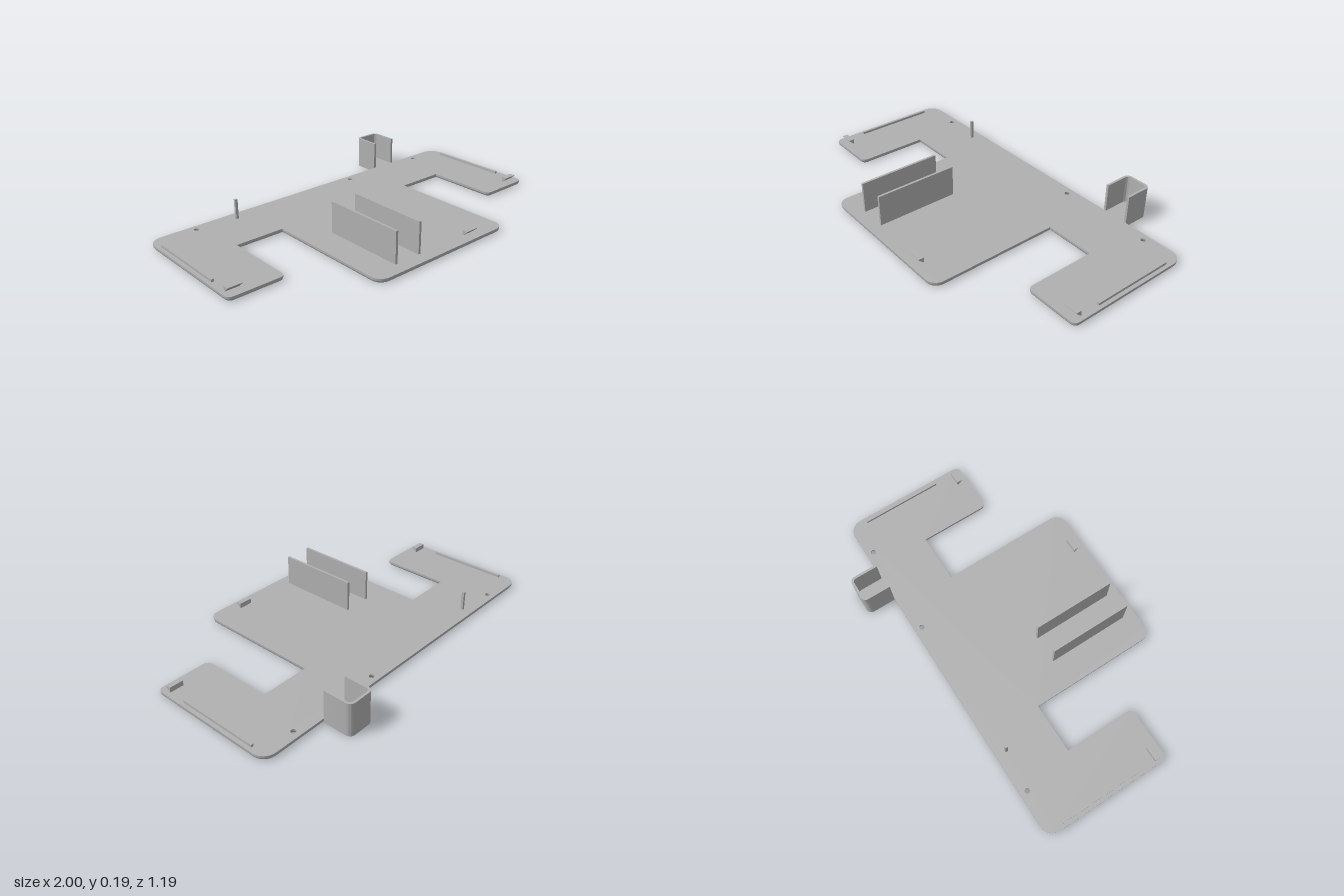
import * as THREE from 'three';
import { toCreasedNormals } from 'three/addons/utils/BufferGeometryUtils.js';

const T = 0.023; // plate thickness

// Plan outline as [x, -z, corner radius], counter-clockwise seen from above
const CORNERS = [
  [1, 0.44, 0.07], [-1, 0.44, 0.07], [-1, -0.275, 0.03], [-0.7, -0.275, 0.03],
  [-0.7, 0.12, 0], [-0.43, 0.12, 0], [-0.43, -0.597, 0.06], [0.43, -0.597, 0.06],
  [0.43, 0.12, 0], [0.7, 0.12, 0], [0.7, -0.275, 0.03], [1, -0.275, 0.03],
];
const HOLES = [[-0.755, 0.4], [0.265, 0.4], [0.79, 0.4]];

// Outline moved inwards by d, with rounded corners
function outline(corners, d) {
  const pts = [];
  const n = corners.length;
  const inward = (a, b) => new THREE.Vector2(a[1] - b[1], b[0] - a[0]).normalize();
  corners.forEach((c, i) => {
    const n1 = inward(corners[(i + n - 1) % n], c);
    const n2 = inward(c, corners[(i + 1) % n]);
    const r = c[2];
    const steps = r > 0 ? 8 : 0;
    const centre = new THREE.Vector2(c[0], c[1]).addScaledVector(n1, r || d).addScaledVector(n2, r || d);
    for (let k = 0; k <= steps; k++) {
      const t = steps ? (k / steps) * Math.PI / 2 : 0;
      const s = r > 0 ? r - d : 0;
      pts.push(centre.clone().addScaledVector(n1, -s * Math.cos(t)).addScaledVector(n2, -s * Math.sin(t)));
    }
  });
  return pts;
}

// Clockwise circle for a screw hole
function circle([x, v], r) {
  return Array.from({ length: 20 }, (_, k) => {
    const a = -k / 20 * Math.PI * 2;
    return new THREE.Vector2(x + r * Math.cos(a), v + r * Math.sin(a));
  });
}

// Flat top, bottom edge rounded, countersunk holes
function plateGeometry() {
  const R = 0.013;
  const levels = [{ y: T, d: 0, h: 0.014 }];
  for (let k = 0; k <= 4; k++) {
    const a = k / 4 * Math.PI / 2;
    const y = R * (1 - Math.sin(a));
    levels.push({ y, d: R * (1 - Math.cos(a)), h: 0.014 + 0.008 * (1 - y / R) });
  }
  const rings = levels.map(({ y, d, h }) => ({
    y, loops: [outline(CORNERS, d), ...HOLES.map((c) => circle(c, h))],
  }));
  const pos = [];
  const put = (p, y) => pos.push(p.x, y, -p.y);
  // walls
  for (let l = 0; l < rings.length - 1; l++) {
    const up = rings[l], low = rings[l + 1];
    up.loops.forEach((loop, q) => loop.forEach((a, i) => {
      const j = (i + 1) % loop.length;
      const b = loop[j], c = low.loops[q][i], e = low.loops[q][j];
      put(c, low.y); put(e, low.y); put(b, up.y);
      put(c, low.y); put(b, up.y); put(a, up.y);
    }));
  }
  // top and bottom faces
  [[rings[0], false], [rings[rings.length - 1], true]].forEach(([ring, flip]) => {
    const all = ring.loops.flat();
    THREE.ShapeUtils.triangulateShape(ring.loops[0], ring.loops.slice(1)).forEach((f) => {
      (flip ? [f[0], f[2], f[1]] : f).forEach((i) => put(all[i], ring.y));
    });
  });
  const g = new THREE.BufferGeometry();
  g.setAttribute('position', new THREE.Float32BufferAttribute(pos, 3));
  return toCreasedNormals(g, 0.6);
}

// Plan shape raised from y0 to y1
function raise(points, y0, y1) {
  const g = new THREE.ExtrudeGeometry(new THREE.Shape(points), { depth: y1 - y0, bevelEnabled: false });
  g.rotateX(-Math.PI / 2);
  g.translate(0, y0, 0);
  return toCreasedNormals(g, 0.6);
}

export function createModel() {
  const model = new THREE.Group();
  const grey = new THREE.MeshStandardMaterial({ color: 0xb0b0b0 });
  grey.name = 'grey plastic';

  const add = (name, geometry, parent = model) => {
    const mesh = new THREE.Mesh(geometry, grey);
    mesh.name = name;
    parent.add(mesh);
    return mesh;
  };
  const block = (name, x, z0, z1, w, top) => {
    const h = top - T;
    add(name, new THREE.BoxGeometry(w, h, z1 - z0)).position.set(x, T + h / 2, (z0 + z1) / 2);
  };

  add('basePlate', plateGeometry());

  // upright fins, locating post and side ridges
  block('leftFin', -0.115, 0.08, 0.53, 0.013, 0.192);
  block('rightFin', -0.265, 0.08, 0.53, 0.013, 0.192);
  block('post', -0.53, -0.387, -0.373, 0.014, 0.13);
  for (const s of [1, -1]) block(s > 0 ? 'leftRidge' : 'rightRidge', s * 0.973, -0.34, 0.11, 0.014, 0.036);

  // wedge clips overhanging towards the front
  const wedge = new THREE.Shape([[0, 0], [0, 0.027], [-0.03, 0.027], [-0.03, 0.024], [-0.004, 0]]
    .reverse().map(([a, b]) => new THREE.Vector2(a, b)));
  for (const [name, x, z] of [['leftClip', 0.937, 0.213], ['rightClip', -0.943, 0.213], ['frontClip', 0.225, 0.53]]) {
    const g = new THREE.ExtrudeGeometry(wedge, { depth: 0.075, bevelEnabled: false });
    g.translate(0, 0, -0.0375);
    g.rotateY(Math.PI / 2);
    add(name, g).position.set(x, T, z);
  }

  // open-fronted holder behind the back edge
  const holder = new THREE.Group();
  holder.name = 'holder';
  model.add(holder);
  const cup = [[0.642, 0.44, 0], [0.642, 0.597, 0.03], [0.492, 0.597, 0.03], [0.492, 0.44, 0]];
  const inner = [[0.629, 0.44, 0], [0.629, 0.584, 0.017], [0.505, 0.584, 0.017], [0.505, 0.44, 0]];
  const outerPts = outline(cup, 0);
  add('holderFloor', raise(outerPts, 0, T), holder);
  add('holderWall', raise([...outerPts, ...outline(inner, 0).reverse()], T, 0.177), holder);

  return model;
}
